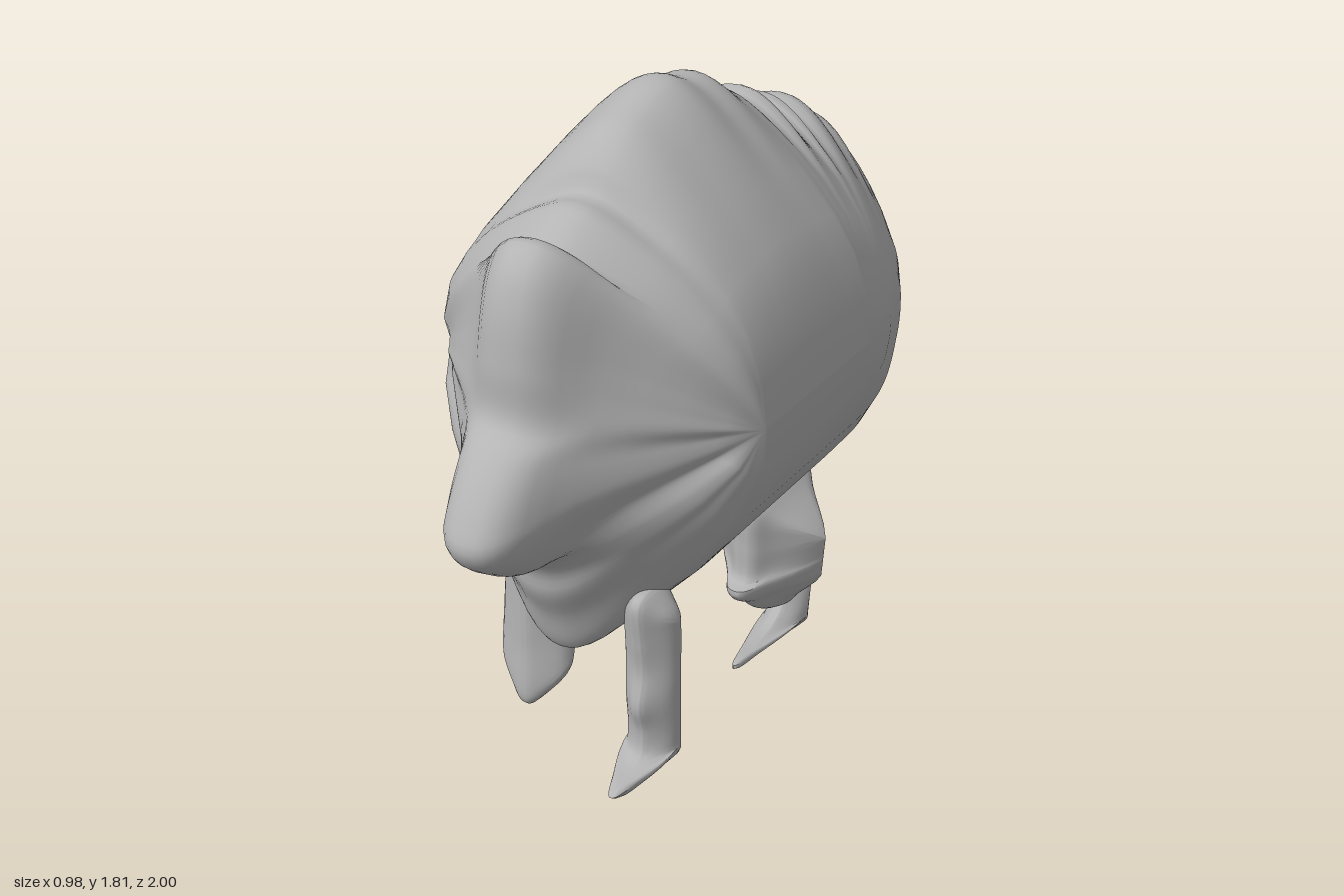
import * as THREE from 'three';
import { mergeVertices, toCreasedNormals } from 'three/addons/utils/BufferGeometryUtils.js';

const grey = new THREE.MeshStandardMaterial({ color: 0xb4b4b4 });
grey.name = 'clay grey';

const DEPTHS = [1, 0.8, 0.6, 0.45, 0.3, 0.2, 0.12, 0.07, 0.035, 0.015, 0.005, 0];
const { clamp, lerp, smoothstep } = THREE.MathUtils;

// Smooth closed curve through the points, evenly spaced
function smoothOutline(points, count) {
  const curve = new THREE.CatmullRomCurve3(points.map(([z, y]) => new THREE.Vector3(z, y, 0)), true);
  return curve.getSpacedPoints(count).slice(0, -1).map((p) => new THREE.Vector2(p.x, p.y));
}

// Moving average of a closed outline, used to fade rim bumps inwards
function blurOutline(pts, reach) {
  return pts.map((_, j) => {
    const sum = new THREE.Vector2();
    for (let k = -reach; k <= reach; k++) sum.add(pts[(j + k + pts.length) % pts.length]);
    return sum.divideScalar(2 * reach + 1);
  });
}

// Half width from rim (0) to spine (1): a power curve with a rounded rim
function swell(t, power) {
  const f = 1 - Math.pow(1 - t, power);
  return Math.sqrt(f * f + 0.7 * t * Math.pow(1 - t, 6));
}

// Inflates a closed (z, y) outline sideways towards a spine from a to b.
// widths: half width at each spine end; bulge(z): power at a rim point.
function puff(points, count, blur, a, b, widths, bulge) {
  const rim = smoothOutline(points, count);
  if (THREE.ShapeUtils.isClockWise(rim)) rim.reverse();
  const soft = blurOutline(rim, blur);
  const spineA = new THREE.Vector2(...a);
  const spine = new THREE.Vector2(...b).sub(spineA);
  const n = rim.length;
  const rings = [
    ...DEPTHS.map((t) => [t, 1]),
    ...DEPTHS.slice(0, -1).reverse().map((t) => [t, -1]),
  ];
  const pos = [], index = [];
  rings.forEach(([t, side], i) => {
    rim.forEach((r, j) => {
      const p = r.clone().lerp(soft[j], smoothstep(t, 0, 0.4));
      const u = clamp(r.clone().sub(spineA).dot(spine) / spine.lengthSq(), 0, 1);
      const q = spineA.clone().addScaledVector(spine, u);
      p.lerp(q, t);
      pos.push(side * lerp(widths[0], widths[1], u) * swell(t, bulge(r.x)), p.y, p.x);
      if (i === 0) return;
      const k = (j + 1) % n;
      const i0 = (i - 1) * n + j, i1 = (i - 1) * n + k, o0 = i * n + j, o1 = i * n + k;
      index.push(o0, i1, o1, o0, i0, i1);
    });
  });
  let geo = new THREE.BufferGeometry();
  geo.setAttribute('position', new THREE.Float32BufferAttribute(pos, 3));
  geo.setIndex(index);
  geo = mergeVertices(geo, 1e-4);
  geo.computeVertexNormals();
  return geo;
}

function addPart(group, name, geometry, x = 0) {
  const mesh = new THREE.Mesh(geometry, grey);
  mesh.name = name;
  mesh.position.x = x;
  group.add(mesh);
}

function addLeg(group, name, x, outline, a, b, widths, power) {
  addPart(group, name, toCreasedNormals(puff(outline, 90, 2, a, b, widths, () => power), 0.7), x);
}

export function createModel() {
  const group = new THREE.Group();
  group.name = 'animal';

  // Body with snout, brow crest, hump and the ribbed back
  const face = [[1, 0.9], [0.98, 0.95], [0.93, 1.03], [0.87, 1.1], [0.8, 1.16], [0.79, 1.3], [0.77, 1.45],
    [0.73, 1.55], [0.67, 1.6], [0.62, 1.58], [0.6, 1.54]];
  const hump = [[0.54, 1.57], [0.47, 1.61], [0.4, 1.61], [0.36, 1.67], [0.28, 1.74], [0.2, 1.77], [0.05, 1.8],
    [-0.05, 1.76], [-0.12, 1.75], [-0.2, 1.69], [-0.23, 1.67]];
  const ribs = [[-0.28, 1.64], [-0.33, 1.6], [-0.37, 1.62], [-0.42, 1.57], [-0.47, 1.53], [-0.5, 1.55],
    [-0.54, 1.5], [-0.6, 1.51], [-0.65, 1.48], [-0.7, 1.42], [-0.76, 1.4], [-0.8, 1.33], [-0.86, 1.29],
    [-0.9, 1.21], [-0.95, 1.18], [-0.96, 1.12], [-0.985, 1.1], [-1, 1.03], [-0.97, 0.95], [-0.975, 0.87],
    [-0.93, 0.8], [-0.91, 0.75], [-0.92, 0.68], [-0.88, 0.6], [-0.86, 0.53], [-0.78, 0.48], [-0.75, 0.38]];
  const underside = [[-0.72, 0.365], [-0.4, 0.365], [0, 0.365], [0.4, 0.365], [0.56, 0.37], [0.58, 0.39],
    [0.62, 0.5], [0.67, 0.6], [0.68, 0.66], [0.71, 0.71], [0.75, 0.745], [0.85, 0.76], [0.92, 0.8], [0.98, 0.85]];
  const bodyBulge = (z) => 2.4 - 1.3 * smoothstep(z, 0.45, 0.9);
  addPart(group, 'body', puff([...face, ...hump, ...ribs, ...underside], 260, 13,
    [-0.2, 1.05], [0.34, 1.05], [0.49, 0.47], bodyBulge));

  // Left front leg: slim post with a pointed foot
  addLeg(group, 'leftFrontLeg', 0.225,
    [[0.57, 0.57], [0.55, 0.59], [0.43, 0.57], [0.4, 0.5], [0.4, 0.25], [0.4, 0.01], [0.45, 0.01], [0.54, 0.02],
      [0.58, 0.03], [0.64, 0.025], [0.68, 0.04], [0.7, 0.05], [0.68, 0.065], [0.6, 0.08], [0.56, 0.1],
      [0.55, 0.17], [0.57, 0.25], [0.55, 0.35], [0.56, 0.45]],
    [0.48, 0.5], [0.47, 0.1], [0.08, 0.075], 1.9);

  // Left hind leg: wedge-topped thigh over a thin shank and long foot
  addLeg(group, 'leftHindThigh', 0.24,
    [[0.02, 0.55], [0.01, 0.57], [-0.31, 0.57], [-0.32, 0.55], [-0.32, 0.35], [-0.32, 0.2], [-0.24, 0.145],
      [-0.12, 0.18], [-0.05, 0.22], [0, 0.27], [0.05, 0.3], [0.07, 0.335], [0.03, 0.35], [0.02, 0.45]],
    [-0.14, 0.45], [-0.16, 0.31], [0.17, 0.15], 1.2);
  addLeg(group, 'leftHindFoot', 0.235,
    [[-0.24, 0.28], [-0.28, 0.32], [-0.32, 0.28], [-0.33, 0.15], [-0.33, 0.01], [-0.3, 0.01], [-0.24, 0.02],
      [-0.2, 0.045], [-0.1, 0.06], [0, 0.07], [0.05, 0.07], [0.06, 0.08], [0.04, 0.09], [-0.05, 0.09],
      [-0.14, 0.1], [-0.2, 0.13], [-0.22, 0.17]],
    [-0.28, 0.24], [-0.27, 0.08], [0.07, 0.06], 1.6);

  // Right front leg: blade that tapers to the ground
  addLeg(group, 'rightFrontLeg', -0.23,
    [[0.4, 0.56], [0.2, 0.52], [0.17, 0.45], [0.16, 0.36], [0.17, 0.27], [0.2, 0.2], [0.24, 0.14], [0.27, 0.06],
      [0.3, 0.015], [0.36, 0], [0.4, 0.005], [0.4, 0.2], [0.4, 0.4]],
    [0.29, 0.42], [0.33, 0.15], [0.11, 0.11], 2);

  // Right hind leg: broad blade with a heel spur
  addLeg(group, 'rightHindLeg', -0.24,
    [[-0.33, 0.57], [-0.66, 0.57], [-0.69, 0.45], [-0.69, 0.34], [-0.73, 0.31], [-0.74, 0.28], [-0.69, 0.25],
      [-0.63, 0.22], [-0.6, 0.13], [-0.56, 0.05], [-0.5, 0.01], [-0.42, 0], [-0.33, 0.005], [-0.33, 0.2], [-0.33, 0.4]],
    [-0.5, 0.45], [-0.46, 0.17], [0.17, 0.13], 1.4);

  return group;
}
